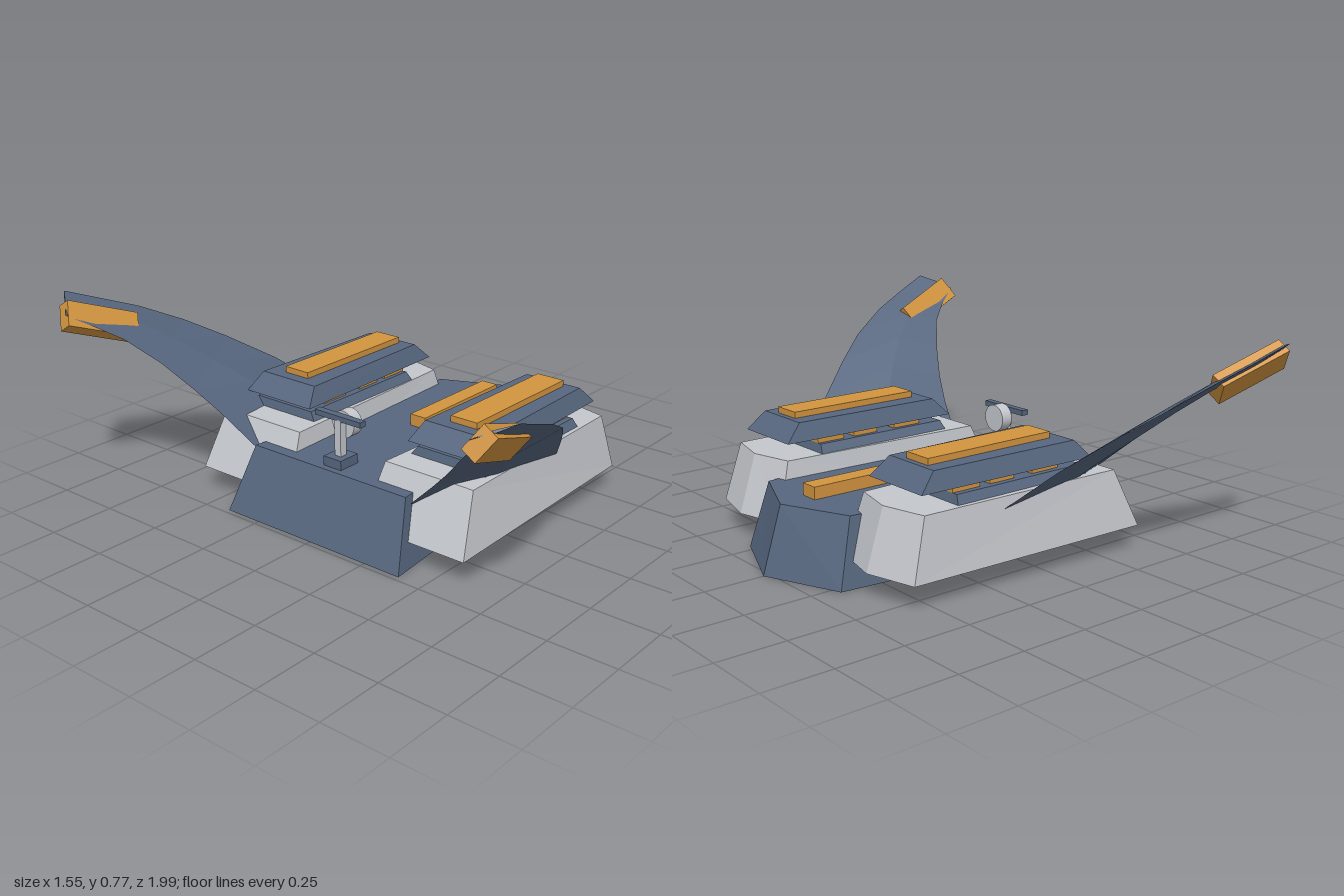
import * as THREE from 'three';

const mat = (name, color) => Object.assign(new THREE.MeshStandardMaterial({ color }), { name });

// Skins a list of rings (arrays of [x, y, z]) and caps both ends, faces outward, flat normals.
function loft(rings) {
  const tris = [];
  const n = rings[0].length;
  for (let r = 0; r + 1 < rings.length; r++) {
    for (let i = 0; i < n; i++) {
      const j = (i + 1) % n;
      const a = rings[r][i], b = rings[r][j], c = rings[r + 1][j], d = rings[r + 1][i];
      tris.push([a, b, c], [a, c, d]);
    }
  }
  const first = rings[0], last = rings[rings.length - 1];
  for (let i = 1; i + 1 < n; i++) {
    tris.push([first[0], first[i + 1], first[i]], [last[0], last[i], last[i + 1]]);
  }
  // The signed volume tells whether the winding must be turned round
  const v = (p) => new THREE.Vector3(...p);
  let volume = 0;
  for (const [a, b, c] of tris) volume += v(a).dot(v(b).cross(v(c)));
  const points = tris.flatMap(([a, b, c]) => (volume < 0 ? [a, c, b] : [a, b, c])).map(v);
  const geo = new THREE.BufferGeometry().setFromPoints(points);
  geo.computeVertexNormals();
  return geo;
}

// Solid between two [x, z] outlines at heights y0 and y1
const frustum = (y0, lower, y1, upper) =>
  loft([lower.map(([x, z]) => [x, y0, z]), upper.map(([x, z]) => [x, y1, z])]);

const rect = (x0, x1, z0, z1) => [[x0, z0], [x1, z0], [x1, z1], [x0, z1]];

export function createModel() {
  const blue = mat('slateBlue', 0x56667e);
  const grey = mat('lightGrey', 0xc4c7cc);
  const orange = mat('amber', 0xd2943f);

  const model = new THREE.Group();
  model.name = 'hoverCraft';
  const add = (parent, name, geo, material) => {
    const mesh = new THREE.Mesh(geo, material);
    mesh.name = name;
    parent.add(mesh);
    return mesh;
  };
  const box = (parent, name, material, x0, x1, y0, y1, z0, z1) =>
    add(parent, name, new THREE.BoxGeometry(x1 - x0, y1 - y0, Math.abs(z1 - z0)), material)
      .position.set((x0 + x1) / 2, (y0 + y1) / 2, (z0 + z1) / 2);

  // Central hull with a pointed nose towards +x
  add(model, 'hull', frustum(
    0, [[-0.48, -0.4], [0.655, -0.285], [0.775, 0], [0.655, 0.285], [-0.48, 0.4]],
    0.24, [[-0.38, -0.35], [0.59, -0.25], [0.7, 0], [0.59, 0.25], [-0.38, 0.35]]), blue);
  box(model, 'hullStrip', orange, 0.125, 0.585, 0.235, 0.285, -0.035, 0.035);

  // Steering column: foot, post, round dial and crossbar
  const column = new THREE.Group();
  column.name = 'steeringColumn';
  model.add(column);
  box(column, 'columnFoot', blue, -0.355, -0.265, 0.235, 0.275, -0.04, 0.04);
  box(column, 'columnPost', grey, -0.325, -0.295, 0.27, 0.41, -0.014, 0.014);
  box(column, 'crossbar', blue, -0.325, -0.297, 0.406, 0.426, -0.105, 0.105);
  const dial = add(column, 'dial', new THREE.CylinderGeometry(0.05, 0.05, 0.045, 24), grey);
  dial.rotation.z = Math.PI / 2;
  dial.position.set(-0.272, 0.385, 0);

  // Wing stations from root to tip: leading edge, trailing edge, half thickness
  const stations = [
    [[0.28, 0.19, 0.49], [-0.335, 0.165, 0.31], 0.025],
    [[0.21, 0.255, 0.56], [-0.365, 0.225, 0.37], 0.025],
    [[0.06, 0.385, 0.67], [-0.41, 0.335, 0.49], 0.022],
    [[-0.1, 0.495, 0.775], [-0.455, 0.42, 0.58], 0.018],
    [[-0.24, 0.58, 0.86], [-0.52, 0.52, 0.68], 0.014],
    [[-0.4, 0.66, 0.925], [-0.6, 0.61, 0.78], 0.011],
    [[-0.54, 0.715, 0.965], [-0.68, 0.665, 0.84], 0.008],
    [[-0.68, 0.77, 0.997], [-0.765, 0.72, 0.885], 0.005],
  ];

  for (const s of [1, -1]) {
    const side = new THREE.Group();
    side.name = s > 0 ? 'rightSide' : 'leftSide';
    model.add(side);
    const flip = (pts) => pts.map(([x, z]) => [x, z * s]);

    // Pod with sloped walls and a blunt pointed front
    add(side, 'pod', frustum(
      0.09, flip([[-0.4, 0.17], [0.58, 0.2], [0.628, 0.39], [0.58, 0.58], [-0.4, 0.607]]),
      0.305, flip([[-0.305, 0.2], [0.52, 0.23], [0.56, 0.39], [0.52, 0.555], [-0.305, 0.572]])), grey);

    // Raised lid standing on small blocks
    add(side, 'podBase', frustum(
      0.3, flip(rect(-0.2, 0.375, 0.225, 0.545)),
      0.336, flip(rect(-0.19, 0.365, 0.25, 0.525))), blue);
    for (const [x0, x1] of [[-0.1, 0.02], [0.1, 0.205], [0.25, 0.365]]) {
      for (const z of [0.315, 0.455]) {
        box(side, 'lidBlock', orange, x0, x1, 0.33, 0.365, s * (z - 0.048), s * (z + 0.048));
      }
    }
    add(side, 'lid', frustum(
      0.36, flip([[-0.22, 0.23], [0.508, 0.245], [0.508, 0.525], [-0.22, 0.545]]),
      0.425, flip([[-0.16, 0.258], [0.442, 0.27], [0.442, 0.502], [-0.16, 0.518]])), blue);
    box(side, 'lidStrip', orange, -0.115, 0.42, 0.42, 0.448, s * 0.333, s * 0.445);

    // Swept wing with a thin diamond section
    const rings = stations.map(([lead, trail, t]) => {
      const mid = lead.map((a, k) => a * 0.5 + trail[k] * 0.5);
      const ring = [
        lead,
        [mid[0], mid[1] + t * 0.75, mid[2] - t * 0.65],
        trail,
        [mid[0], mid[1] - t * 0.75, mid[2] + t * 0.65],
      ];
      return ring.map(([x, y, z]) => [x, y, z * s]);
    });
    add(side, 'wing', loft(rings), blue);

    // Wing tip bar, passing through the wing and aligned with its plane
    const along = new THREE.Vector3(0.255, -0.095, -0.06 * s).normalize();
    const across = new THREE.Vector3(0.035, 0.085, 0.055 * s);
    across.addScaledVector(along, -across.dot(along)).normalize();
    const through = along.clone().cross(across);
    const bar = add(side, 'wingTipBar', new THREE.BoxGeometry(0.285, 0.098, 0.058), orange);
    bar.quaternion.setFromRotationMatrix(new THREE.Matrix4().makeBasis(along, across, through));
    bar.position.set(-0.622, 0.662, 0.88 * s);
  }
  return model;
}
